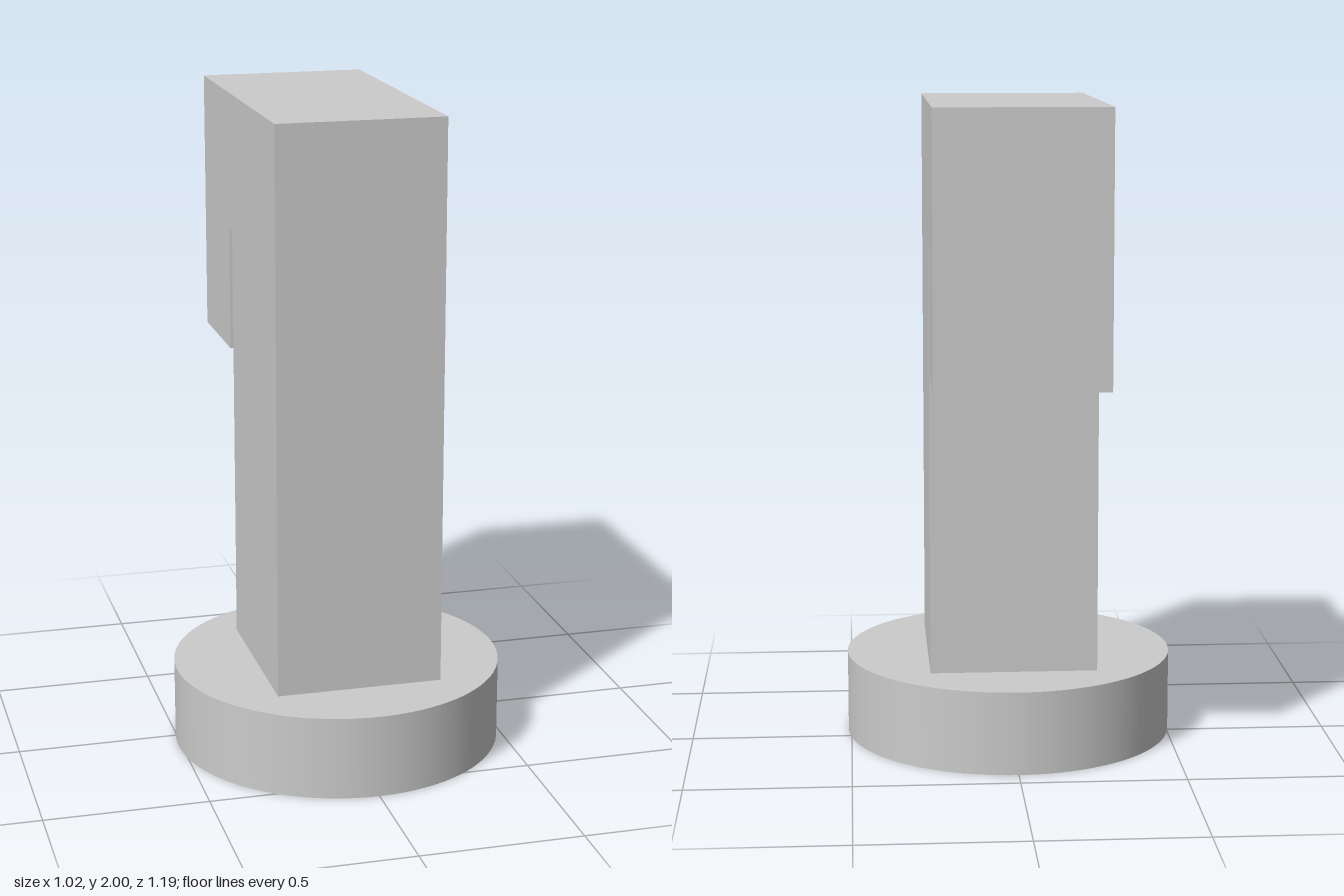
import * as THREE from 'three';

export function createModel() {
  const group = new THREE.Group();
  const material = new THREE.MeshStandardMaterial({ color: 0xcccccc });

  const add = (name, geometry) => {
    const mesh = new THREE.Mesh(geometry, material);
    mesh.name = name;
    group.add(mesh);
    return mesh;
  };

  // Round foot
  const baseHeight = 0.257;
  const base = add('base', new THREE.CylinderGeometry(0.51, 0.51, baseHeight, 96));
  base.position.set(0, baseHeight / 2, 0.084);

  // Upright post with a hook folded down behind it: side profile as [z, y]
  const profile = [
    [0.368, baseHeight], [-0.202, baseHeight], [-0.202, 1.573], [-0.243, 1.573],
    [-0.243, 1.19], [-0.594, 1.19], [-0.594, 2], [0.368, 2],
  ];
  const width = 0.514;
  const shape = new THREE.Shape(profile.map(([z, y]) => new THREE.Vector2(-z, y)));
  const hook = new THREE.ExtrudeGeometry(shape, { depth: width, bevelEnabled: false });
  hook.translate(0, 0, -width / 2).rotateY(Math.PI / 2);
  add('hookedPost', hook);

  return group;
}
